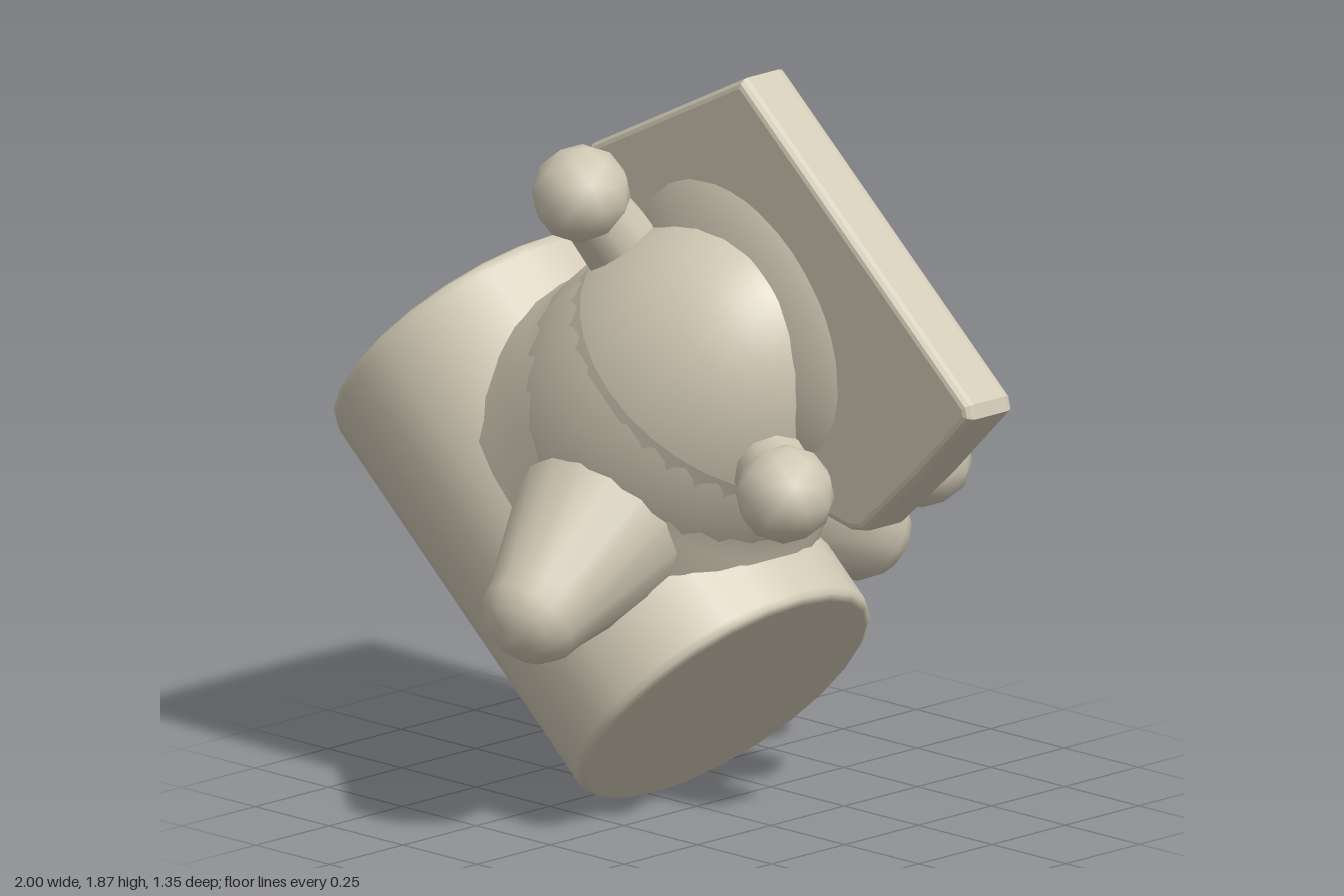
import * as THREE from 'three';

const stone = new THREE.MeshStandardMaterial({ color: 0xd0c8b4 });
stone.name = 'warm stone';

function addMesh(parent, name, geometry) {
  const mesh = new THREE.Mesh(geometry, stone);
  mesh.name = name;
  parent.add(mesh);
  return mesh;
}

const points = (pairs) => pairs.map(([x, y]) => new THREE.Vector2(x, y));

// Tapered stub with a rounded tip, running from point a to point b
function addStub(parent, name, a, ra, b, rb, segments) {
  const from = new THREE.Vector3(...a);
  const axis = new THREE.Vector3(...b).sub(from);
  const length = axis.length();
  const profile = [new THREE.Vector2(ra, 0)];
  for (let i = 0; i <= 4; i++) {
    const t = (i / 4) * Math.PI / 2;
    profile.push(new THREE.Vector2(rb * Math.cos(t), length + rb * Math.sin(t)));
  }
  const mesh = addMesh(parent, name, new THREE.LatheGeometry(profile, segments));
  mesh.position.copy(from);
  mesh.quaternion.setFromUnitVectors(new THREE.Vector3(0, 1, 0), axis.normalize());
}

// Flared collar: wide along the drum, never deeper than the drum itself
function collarGeometry() {
  const profile = points([[0.5, 0.16], [0.47, 0.3], [0.435, 0.4], [0.41, 0.47], [0.395, 0.62]]);
  const geometry = new THREE.LatheGeometry(profile, 32);
  const position = geometry.attributes.position;
  for (let i = 0; i < position.count; i++) {
    const radius = Math.hypot(position.getX(i), position.getZ(i));
    position.setZ(i, position.getZ(i) * Math.min(1, 0.415 / radius));
  }
  geometry.computeVertexNormals();
  return geometry;
}

export function createModel() {
  const model = new THREE.Group();
  model.name = 'figure';

  // Everything but the side stubs follows the tilted axis
  const tilted = new THREE.Group();
  tilted.name = 'tiltedBody';
  tilted.position.set(-0.32, 0.665, 0);
  tilted.rotation.z = -0.729;
  model.add(tilted);

  // Drum lying across the base, with slightly softened rims
  const drumProfile = points([
    [0, -0.574], [0.375, -0.572], [0.392, -0.562], [0.396, -0.54],
    [0.396, 0.54], [0.392, 0.558], [0.375, 0.568], [0, 0.57],
  ]);
  const drum = addMesh(tilted, 'drum', new THREE.LatheGeometry(drumProfile, 24));
  drum.rotation.z = -Math.PI / 2;
  drum.scale.z = 0.422 / 0.396;

  // Domed body rising out of the drum
  addMesh(tilted, 'collar', collarGeometry());
  const dome = addMesh(tilted, 'dome', new THREE.SphereGeometry(1, 28, 20));
  dome.position.y = 0.4;
  dome.scale.set(0.42, 0.61, 0.42);

  // Flat crest plate with a shallow swelling where it leaves the dome
  const outline = points([
    [-0.395, 1.258], [0.62, 1.27], [0.65, 1.25], [0.635, 0.98], [0.61, 0.75],
    [0.58, 0.715], [0.5, 0.67], [0.41, 0.62], [0.38, 0.5], [-0.38, 0.5],
    [-0.4, 0.62], [-0.53, 0.65], [-0.607, 0.72],
  ]);
  const crest = new THREE.ExtrudeGeometry(new THREE.Shape(outline), {
    depth: 0.105, bevelEnabled: true, bevelThickness: 0.025,
    bevelSize: 0.02, bevelOffset: -0.02, bevelSegments: 3,
  });
  crest.translate(0, 0, -0.0525);
  addMesh(tilted, 'crestPlate', crest);
  const swelling = addMesh(tilted, 'crestSwelling', new THREE.SphereGeometry(1, 28, 16));
  swelling.position.y = 0.8;
  swelling.scale.set(0.48, 0.35, 0.13);

  for (const side of [1, -1]) {
    // Knobs on short stalks at both ends of the crest
    for (const end of [1, -1]) {
      const centre = [end * 0.462, 0.76, side * 0.235];
      addStub(tilted, 'knobStalk', [end * 0.32, 0.655, side * 0.11], 0.1, centre, 0.085, 10);
      const knob = addMesh(tilted, 'knob', new THREE.IcosahedronGeometry(0.121, 1));
      knob.position.set(...centre);
    }
    // Drooping stub on each flank
    addStub(model, 'sideStub', [-0.04, 0.78, side * 0.24], 0.25, [0, 0.597, side * 0.54], 0.135, 16);
  }

  return model;
}
